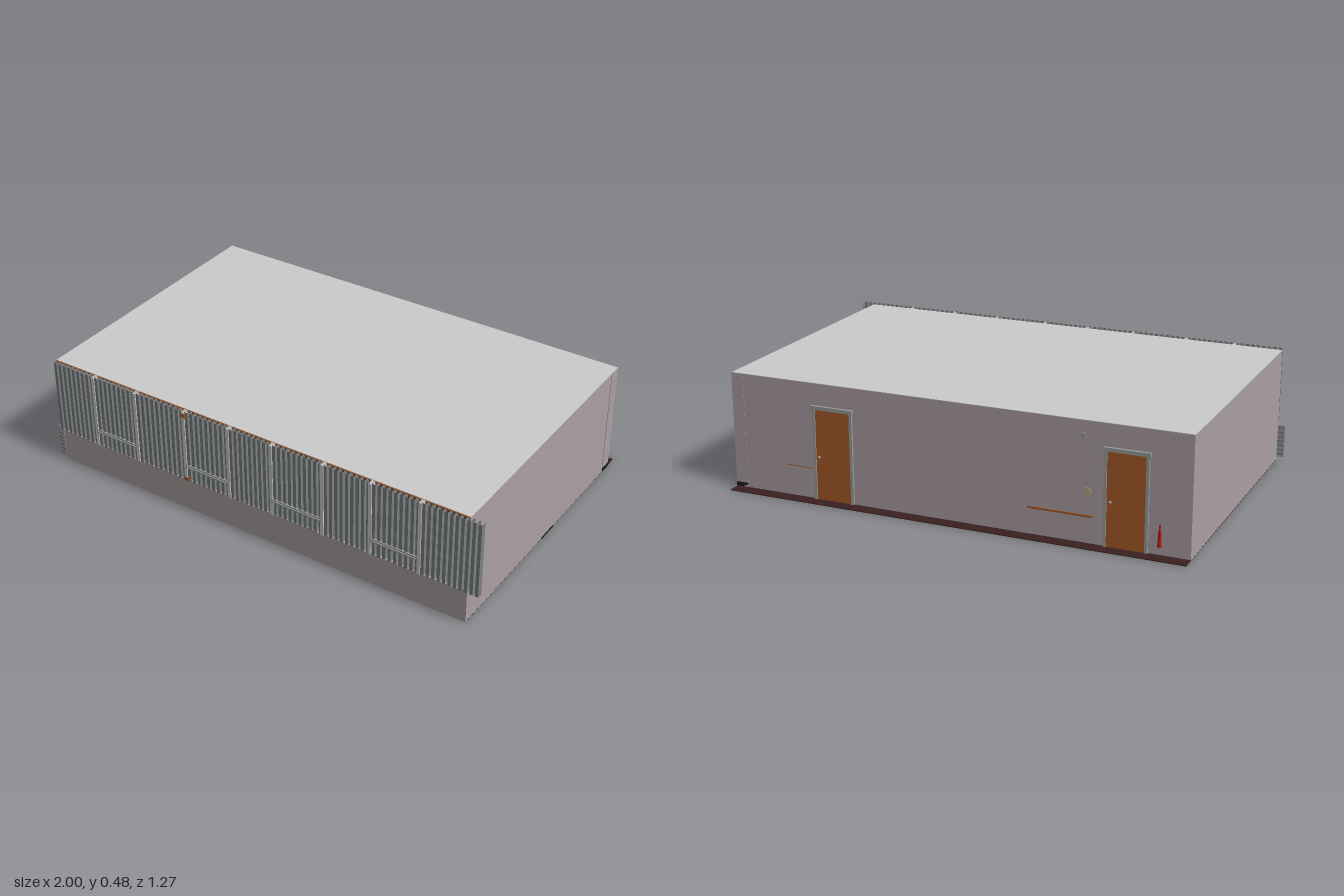
import * as THREE from 'three';

const X0 = -0.97, X1 = 0.94, Z0 = -0.58, Z1 = 0.605, H = 0.48, SILL = 0.16;

const mat = (color) => new THREE.MeshStandardMaterial({ color, side: THREE.DoubleSide, flatShading: true });
const wallMat = mat(0xaca0a2);
const greyMat = mat(0xcccccc);
const frameMat = mat(0x9a9c9c);
const blindMat = mat(0x7c8080);
const floorMat = mat(0x3a2022);
const woodMat = mat(0xa85a28);
const blackMat = mat(0x1c1c1c);
const redMat = mat(0xc02018);

// Box given by its minimum and maximum corners
function box(parent, name, material, x0, x1, y0, y1, z0, z1) {
  const mesh = new THREE.Mesh(new THREE.BoxGeometry(x1 - x0, y1 - y0, z1 - z0), material);
  mesh.position.set((x0 + x1) / 2, (y0 + y1) / 2, (z0 + z1) / 2);
  mesh.name = name;
  parent.add(mesh);
  return mesh;
}

// Corrugated sheet running along x, standing from y0 to y1
function corrugated(parent, name, x0, x1, y0, y1, zBack, zFront) {
  const folds = Math.round((x1 - x0) / 0.023);
  const pitch = (x1 - x0) / folds;
  const pos = [], index = [];
  for (let i = 0; i < folds; i++) {
    const x = x0 + i * pitch;
    for (const [t, z] of [[0, zBack], [0.25, zBack], [0.33, zFront], [0.92, zFront], [1, zBack]]) {
      pos.push(x + t * pitch, y0, z, x + t * pitch, y1, z);
    }
  }
  for (let i = 0; i < pos.length / 6 - 1; i++) {
    const a = i * 2;
    index.push(a, a + 2, a + 1, a + 1, a + 2, a + 3);
  }
  const geo = new THREE.BufferGeometry();
  geo.setAttribute('position', new THREE.Float32BufferAttribute(pos, 3));
  geo.setIndex(index);
  geo.computeVertexNormals();
  const mesh = new THREE.Mesh(geo, blindMat);
  mesh.name = name;
  parent.add(mesh);
}

// Door with posts and a slightly wider lintel, on the back wall
function door(x) {
  const g = new THREE.Group();
  g.name = 'door';
  box(g, 'doorLeaf', woodMat, -0.076, 0.076, 0.003, 0.375, Z0 - 0.005, Z0 + 0.012);
  for (const s of [-1, 1]) {
    const post = box(g, 'doorPost', frameMat, -0.006, 0.006, 0, 0.38, Z0 - 0.009, Z0 + 0.012);
    post.position.x = s * 0.081;
  }
  box(g, 'doorLintel', frameMat, -0.092, 0.092, 0.375, 0.39, Z0 - 0.012, Z0 + 0.012);
  const knob = new THREE.Mesh(new THREE.SphereGeometry(0.006, 10, 8), frameMat);
  knob.position.set(0.06, 0.18, Z0 - 0.009);
  knob.name = 'doorKnob';
  g.add(knob);
  g.position.x = x;
  return g;
}

export function createModel() {
  const room = new THREE.Group();
  room.name = 'room';

  // Shell
  box(room, 'floor', floorMat, X0, X1, 0, 0.003, -0.635, Z1 - 0.012);
  box(room, 'ceiling', greyMat, X0, X1, H - 0.004, H, Z0, Z1);
  box(room, 'backWall', wallMat, X0, X1, 0.001, H - 0.002, Z0, Z0 + 0.01);
  box(room, 'leftWall', wallMat, X1 - 0.01, X1, 0.001, H - 0.002, Z0, Z1);
  box(room, 'rightWall', wallMat, X0, X0 + 0.01, 0.001, H - 0.002, Z0, Z1);
  box(room, 'frontWall', wallMat, X0, X1, 0, SILL, Z1 - 0.012, Z1);
  box(room, 'cornerColumn', wallMat, X1 - 0.05, X1 + 0.002, 0.001, H - 0.002, Z0 - 0.001, -0.527);
  box(room, 'columnBase', blackMat, X1 - 0.05, X1 + 0.004, 0.003, 0.02, Z0 - 0.001, -0.527);
  box(room, 'threshold', blackMat, X1 - 0.02, X1 + 0.003, 0, 0.005, -0.09, 0.012);

  // Window sill and top rail
  box(room, 'windowSill', wallMat, X0, 0.91, SILL, SILL + 0.003, Z1 - 0.012, 0.63);
  box(room, 'topRail', woodMat, X0, X1, H - 0.008, H - 0.001, Z1, Z1 + 0.004);

  // Blinds, one sheet between each pair of mullions
  const bounds = [X0, -0.76, -0.55, -0.31, -0.1, 0.1, 0.33, 0.54, 0.75, 1.0];
  for (let i = 0; i < bounds.length - 1; i++) {
    const a = bounds[i], b = bounds[i + 1];
    corrugated(room, 'blind', a, b, SILL, H + 0.002, 0.61, 0.63);
    if (i > 0) box(room, 'mullion', greyMat, a - 0.007, a + 0.007, SILL, H, 0.607, 0.633);
    if (i % 2 === 1) {
      for (const y of [0.224, 0.234]) box(room, 'windowRail', frameMat, a, b, y - 0.003, y + 0.003, 0.626, 0.634);
    }
  }
  for (const y of [SILL + 0.002, H - 0.022]) {
    box(room, 'mullionClip', woodMat, -0.318, -0.298, y, y + 0.016, 0.62, 0.635);
  }

  // Grille beside the front wall
  box(room, 'grillePanel', frameMat, -1.0, X0, 0.015, 0.155, 0.603, 0.607);
  for (let i = 0; i < 7; i++) {
    const y = 0.025 + i * 0.019;
    box(room, 'grilleSlat', blindMat, -0.998, X0, y, y + 0.007, 0.601, 0.609);
  }

  // Back wall doors and fittings
  room.add(door(0.49), door(-0.72));
  box(room, 'boardLedge', woodMat, -0.59, -0.33, 0.105, 0.113, Z0 - 0.002, Z0 + 0.01);
  box(room, 'wallStrip', woodMat, 0.58, 0.7, 0.126, 0.129, Z0 - 0.001, Z0 + 0.01);
  box(room, 'lightSwitch', mat(0xb8a878), -0.58, -0.56, 0.2, 0.22, Z0 - 0.004, Z0 + 0.01);
  box(room, 'wallBox', frameMat, -0.56, -0.54, 0.41, 0.43, Z0 - 0.004, Z0 + 0.01);

  // Fire extinguisher
  const bottle = new THREE.Mesh(new THREE.CylinderGeometry(0.008, 0.01, 0.065, 12), redMat);
  bottle.position.set(-0.85, 0.065, Z0 + 0.005);
  bottle.name = 'extinguisherBottle';
  room.add(bottle);
  box(room, 'extinguisherValve', redMat, -0.853, -0.847, 0.097, 0.12, Z0 - 0.003, Z0 + 0.008);

  return room;
}
